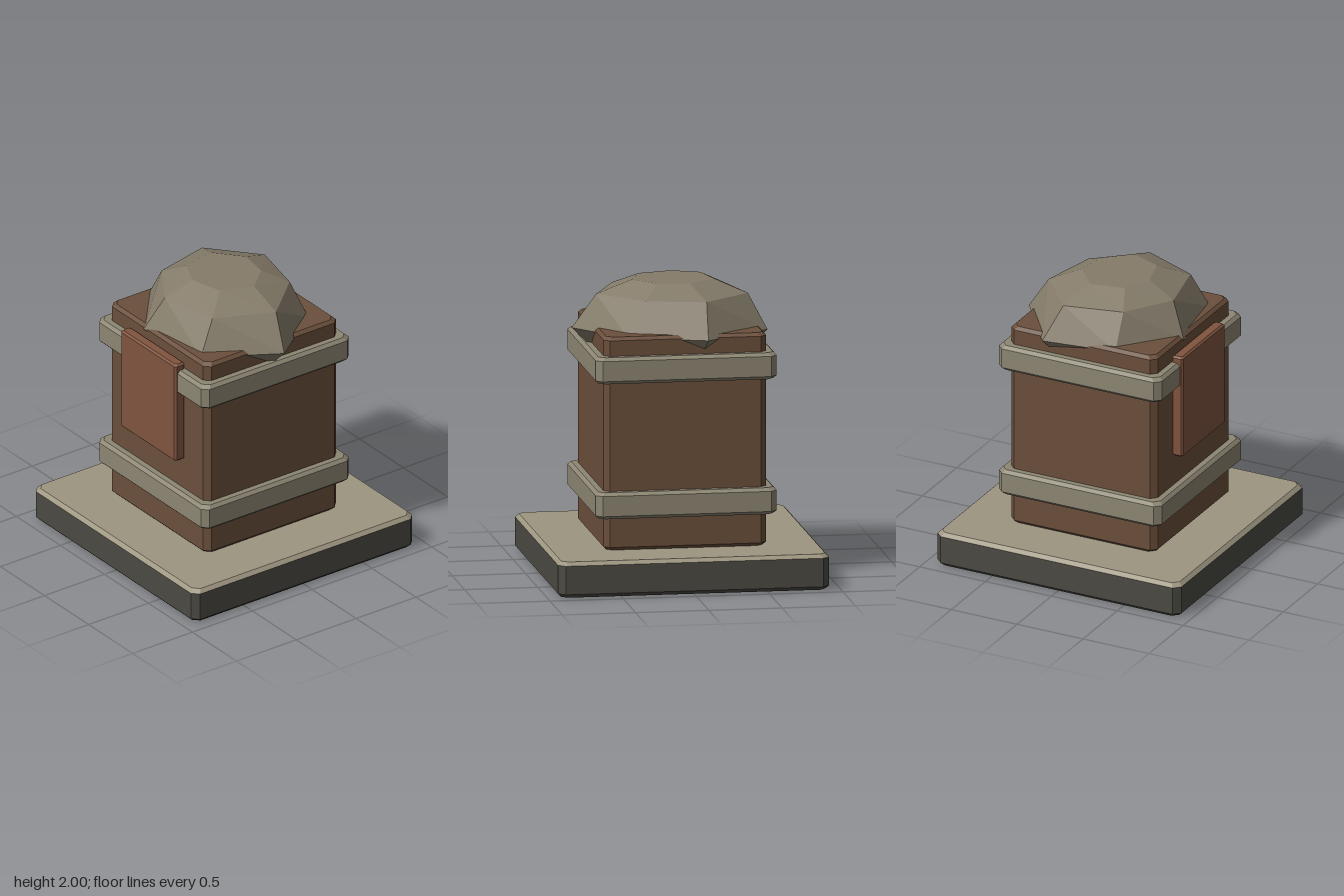
import * as THREE from 'three';

// Closed faceted solid through rings of equal point count, listed bottom to top
function loft(rings) {
  const pos = [];
  const tri = (...pts) => pts.forEach((p) => pos.push(...p));
  const n = rings[0].length;
  const centre = (ring) => [0, 1, 2].map((k) => ring.reduce((s, p) => s + p[k], 0) / n);
  const first = rings[0], last = rings[rings.length - 1];
  const c0 = centre(first), c1 = centre(last);
  for (let i = 0; i < n; i++) {
    const j = (i + 1) % n;
    for (let r = 0; r < rings.length - 1; r++) {
      const lo = rings[r], hi = rings[r + 1];
      tri(lo[i], hi[i], hi[j]);
      tri(lo[i], hi[j], lo[j]);
    }
    tri(c0, first[i], first[j]);
    tri(c1, last[j], last[i]);
  }
  const geometry = new THREE.BufferGeometry();
  geometry.setAttribute('position', new THREE.Float32BufferAttribute(pos, 3));
  geometry.computeVertexNormals();
  return geometry;
}

// Rectangle with cut corners at height y
function octagon(hx, hz, cut, y) {
  return [
    [hx - cut, y, -hz], [hx, y, cut - hz], [hx, y, hz - cut], [hx - cut, y, hz],
    [cut - hx, y, hz], [-hx, y, hz - cut], [-hx, y, cut - hz], [cut - hx, y, -hz],
  ];
}

// Box with cut corners and bevelled rims
function bevelBox(hx, hz, y0, y1, cut, bevel) {
  return loft([
    octagon(hx - bevel, hz - bevel, cut, y0),
    octagon(hx, hz, cut, y0 + bevel),
    octagon(hx, hz, cut, y1 - bevel),
    octagon(hx - bevel, hz - bevel, cut, y1),
  ]);
}

export function createModel() {
  const model = new THREE.Group();
  model.name = 'stonePedestal';
  const add = (name, geometry, color) => {
    const material = new THREE.MeshStandardMaterial({ color, flatShading: true });
    const mesh = new THREE.Mesh(geometry, material);
    mesh.name = name;
    model.add(mesh);
    return mesh;
  };

  // Dark plinth with a pale bevelled top
  add('plinth', loft([
    octagon(0.9, 0.9, 0.04, 0),
    octagon(0.925, 0.925, 0.045, 0.025),
    octagon(0.925, 0.925, 0.045, 0.22),
  ]), 0x4b4a43);
  add('plinthTop', loft([
    octagon(0.925, 0.925, 0.045, 0.22),
    octagon(0.9, 0.9, 0.04, 0.245),
  ]), 0x9d9580);

  // Square column
  add('column', bevelBox(0.555, 0.555, 0.245, 1.705, 0.04, 0.022), 0x6b4f3b);

  // Bands around the column
  const bands = { lowerBand: 0.47, upperBand: 1.395 };
  for (const [name, y] of Object.entries(bands)) {
    add(name, bevelBox(0.618, 0.618, y, y + 0.182, 0.042, 0.022), 0x8d8673);
  }

  // Front plaque
  const plaque = add('plaque', bevelBox(0.313, 0.042, 0.88, 1.622, 0.013, 0.013), 0x80543f);
  plaque.position.z = 0.595;

  // Rough boulder on top: seven-sided rings, underside sunk in the column
  const rim = [[-0.146, -0.616], [0.37, -0.433], [0.685, 0], [0.394, 0.483],
    [-0.15, 0.562], [-0.53, 0.24], [-0.606, -0.275]];
  const shoulder = [[-0.16, -0.458], [0.245, -0.369], [0.527, -0.047], [0.349, 0.354],
    [-0.072, 0.443], [-0.394, 0.23], [-0.488, -0.176]];
  const crown = [[-0.082, -0.245], [0.136, -0.21], [0.285, -0.042], [0.196, 0.18],
    [-0.032, 0.24], [-0.22, 0.151], [-0.27, -0.087]];
  const ring = (pts, y, s = 1) => pts.map(([x, z]) => [x * s, y, z * s]);
  add('boulder', loft([
    ring(rim, 1.44, 0.65), ring(rim, 1.675), ring(shoulder, 1.91), ring(crown, 2),
  ]), 0x857c6a);

  return model;
}
